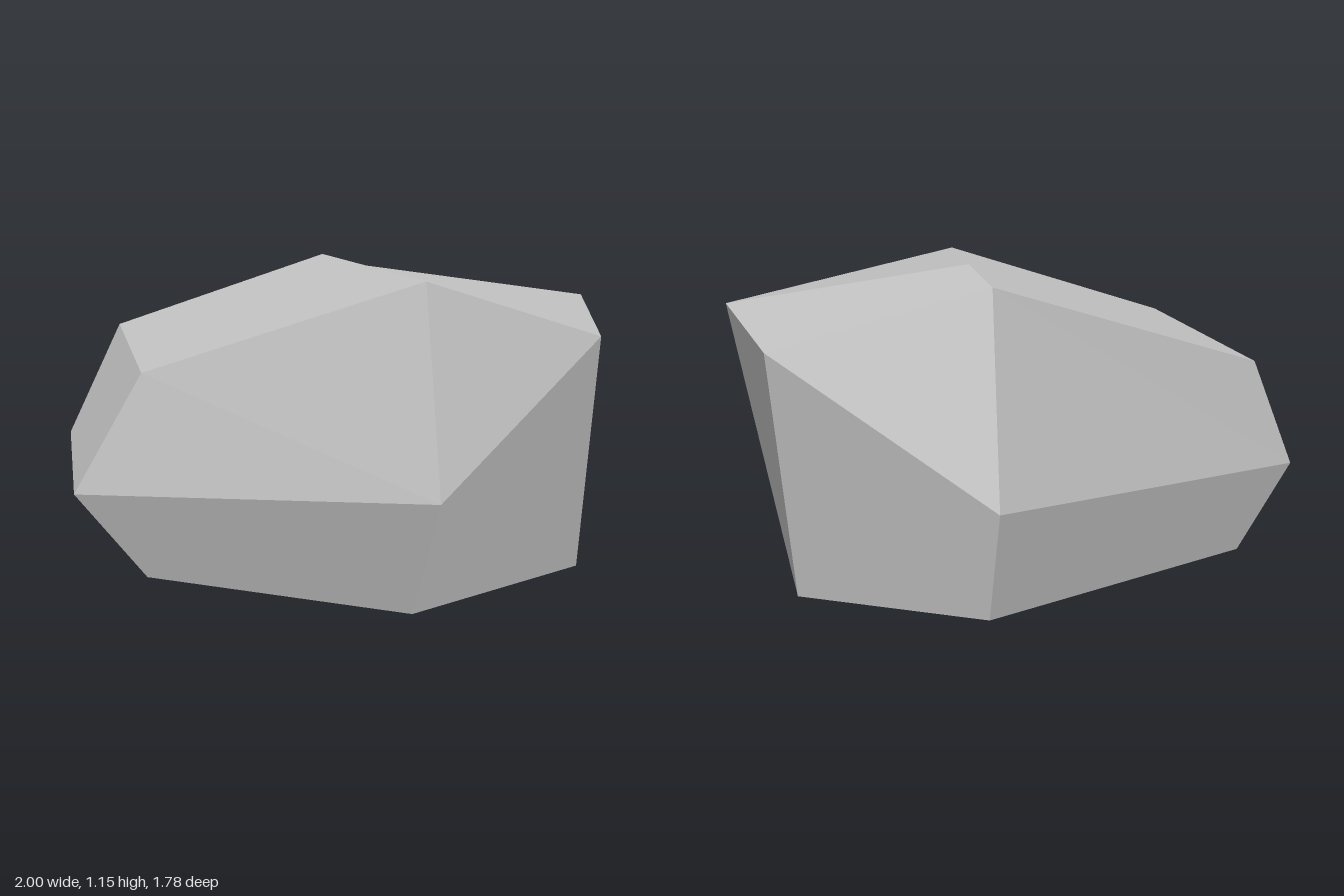
import * as THREE from 'three';

// Corner points of one half of the boulder: [x, y, z], z is mirrored per side
const P = {
  ridgeMid: [0.11, 1.15, 0], ridge: [0.11, 1.15, 0.71],
  waist: [0.11, 0.47, 0.89],
  keel: [0.11, 0, 0.62], keelMid: [0.11, 0, 0],
  peak: [1, 1.02, 0], shoulder: [0.83, 0.925, 0.51],
  foot: [0.755, 0.095, 0.55], footMid: [0.755, 0.095, 0],
  brow: [-0.78, 0.88, 0.62], browMid: [-0.78, 0.88, 0],
  nose: [-1, 0.47, 0.49], noseMid: [-1, 0.47, 0.02],
  chin: [-0.78, 0.19, 0.55], chinMid: [-0.78, 0.19, 0],
};

// Facets found on both halves; each is fanned from its first corner
const SHARED = [
  'ridge ridgeMid browMid brow',
  'ridge waist shoulder',
  'peak shoulder foot footMid',
  'keel foot footMid keelMid',
  'keel keelMid chinMid chin',
  'waist keel chin nose',
  'chin chinMid noseMid nose',
  'nose noseMid browMid brow',
];

// Bent facets that fold along opposite diagonals at the front and the back
const FRONT = [
  'ridge ridgeMid peak shoulder',
  'brow ridge waist nose',
  'waist shoulder foot keel',
];
const BACK = [
  'ridgeMid peak shoulder ridge',
  'ridge waist nose brow',
  'shoulder foot keel waist',
];

const CENTRE = new THREE.Vector3(0.05, 0.55, 0);

function corner(name, side) {
  const [x, y, z] = P[name];
  if (name === 'noseMid') return new THREE.Vector3(x, y, z);
  // the nose is slightly narrower at the back
  return new THREE.Vector3(x, y, name === 'nose' && side < 0 ? -0.45 : z * side);
}

// Adds one facet with a single flat normal, turned to face outwards
function addFacet(points, positions, normals) {
  const normal = new THREE.Vector3();
  const middle = new THREE.Vector3();
  points.forEach((p, i) => {
    normal.add(new THREE.Vector3().crossVectors(p, points[(i + 1) % points.length]));
    middle.addScaledVector(p, 1 / points.length);
  });
  normal.normalize();
  if (normal.dot(middle.sub(CENTRE)) < 0) {
    normal.negate();
    points = [points[0], ...points.slice(1).reverse()];
  }
  for (let i = 1; i < points.length - 1; i++) {
    for (const p of [points[0], points[i], points[i + 1]]) {
      positions.push(p.x, p.y, p.z);
      normals.push(normal.x, normal.y, normal.z);
    }
  }
}

export function createModel() {
  const stone = new THREE.MeshStandardMaterial({ color: 0xc4c4c4 });
  stone.name = 'stoneGrey';

  const positions = [];
  const normals = [];
  for (const [side, bent] of [[1, FRONT], [-1, BACK]]) {
    for (const facet of [...SHARED, ...bent]) {
      addFacet(facet.split(' ').map((n) => corner(n, side)), positions, normals);
    }
  }

  const geometry = new THREE.BufferGeometry();
  geometry.setAttribute('position', new THREE.Float32BufferAttribute(positions, 3));
  geometry.setAttribute('normal', new THREE.Float32BufferAttribute(normals, 3));

  const boulder = new THREE.Mesh(geometry, stone);
  boulder.name = 'boulder';
  const group = new THREE.Group();
  group.name = 'rock';
  group.add(boulder);
  return group;
}
